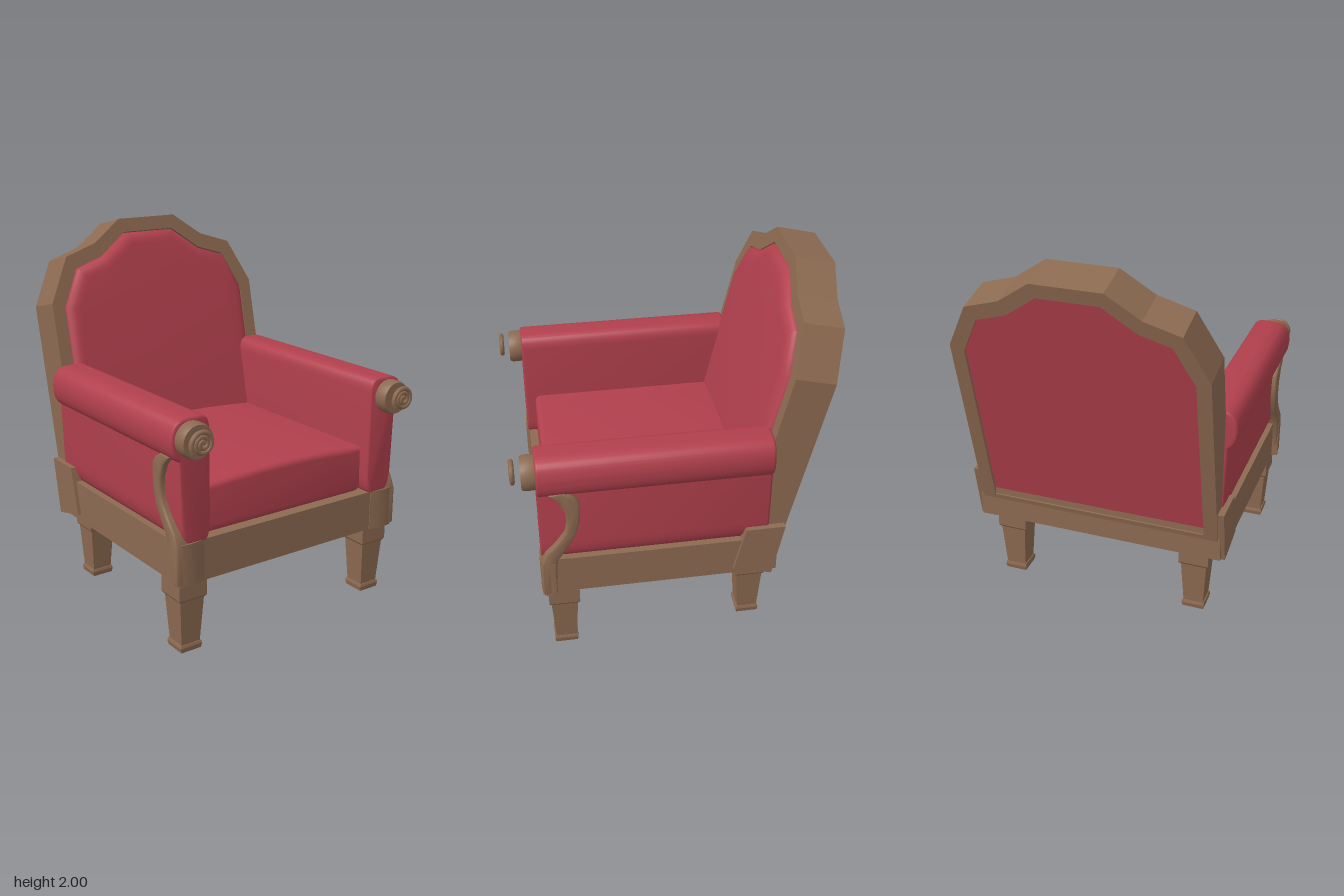
import * as THREE from 'three';
import { toCreasedNormals } from 'three/addons/utils/BufferGeometryUtils.js';

const wood = new THREE.MeshStandardMaterial({ color: 0x8c6a51 });
wood.name = 'wood';
const fabric = new THREE.MeshStandardMaterial({ color: 0xb1404d });
fabric.name = 'red fabric';

function add(parent, name, geometry, material) {
  const mesh = new THREE.Mesh(geometry, material);
  mesh.name = name;
  parent.add(mesh);
  return mesh;
}

const polygon = (pts) => new THREE.Shape(pts.map(([x, y]) => new THREE.Vector2(x, y)));

// Extrudes from z0 to z1; the bevel stays inside the outline and the depth
function extrude(shape, z0, z1, bevel = 0, bevelDepth = bevel, crease = 0.6) {
  const g = new THREE.ExtrudeGeometry(shape, {
    depth: z1 - z0 - 2 * bevelDepth,
    bevelEnabled: bevel > 0,
    bevelSize: bevel,
    bevelOffset: -bevel,
    bevelThickness: bevelDepth,
    bevelSegments: 4,
    curveSegments: 10,
  });
  g.translate(0, 0, z0 + bevelDepth);
  return toCreasedNormals(g, crease);
}

// Extrudes a [z, y] outline sideways between x0 and x1
function sideProfile(pts, x0, x1, bevel = 0) {
  const g = extrude(polygon(pts), -Math.max(x0, x1), -Math.min(x0, x1), bevel, bevel, 0.75);
  return g.rotateY(-Math.PI / 2);
}

// Closed outline of the stepped back, given its right half
function backOutline(half, bottom) {
  const right = [[half[0][0], bottom], ...half];
  return polygon([...right, ...right.map(([x, y]) => [-x, y]).reverse()]);
}

// Square tapered section between two heights
function taper(topWidth, bottomWidth, y0, y1) {
  const g = new THREE.CylinderGeometry(topWidth / Math.SQRT2, bottomWidth / Math.SQRT2, y1 - y0, 4);
  g.rotateY(Math.PI / 4).translate(0, (y0 + y1) / 2, 0);
  return toCreasedNormals(g, 0.3);
}

function makeLeg(x, z, name) {
  const leg = new THREE.Group();
  leg.name = name;
  leg.position.set(x, 0, z);
  add(leg, 'legCap', taper(0.165, 0.165, 0.3, 0.4), wood);
  add(leg, 'legCapChamfer', taper(0.165, 0.15, 0.288, 0.3), wood);
  add(leg, 'legShaft', taper(0.142, 0.11, 0.035, 0.29), wood);
  add(leg, 'legFoot', taper(0.12, 0.128, 0.025, 0.04), wood);
  add(leg, 'legFootBase', taper(0.128, 0.118, 0, 0.025), wood);
  return leg;
}

// Leaning back: frame, puffed front cushion and flat rear panel
function makeBack() {
  const back = new THREE.Group();
  back.name = 'backrest';
  back.position.set(0, 0.43, -0.28);
  back.rotation.x = -THREE.MathUtils.degToRad(13.4);

  const outer = [[0.675, 1.182], [0.55, 1.429], [0.36, 1.49], [0.185, 1.614]];
  const inner = [[0.6, 1.155], [0.498, 1.36], [0.333, 1.412], [0.16, 1.537]];
  const frame = backOutline(outer, 0);
  frame.holes.push(backOutline(inner, 0.16));
  add(back, 'backFrame', extrude(frame, -0.216, 0, 0, 0, 0.1), wood);

  const filling = inner.map(([x, y]) => [x - 0.004, y - 0.004]);
  add(back, 'backCushion', extrude(backOutline(filling, 0.17), -0.12, 0.035, 0.07, 0.045, 0.8), fabric);
  add(back, 'backPanel', extrude(backOutline(inner, 0.16), -0.2, -0.11), fabric);
  return back;
}

function makeArm(s) {
  const arm = new THREE.Group();
  arm.name = s > 0 ? 'leftArm' : 'rightArm';

  // Upholstered side with a rolled top
  const p = new THREE.Shape();
  p.moveTo(s * 0.54, 0.605);
  p.lineTo(s * 0.645, 0.605);
  p.quadraticCurveTo(s * 0.68, 0.63, s * 0.685, 0.72);
  p.lineTo(s * 0.695, 1.035);
  p.quadraticCurveTo(s * 0.738, 1.06, s * 0.74, 1.14);
  p.quadraticCurveTo(s * 0.738, 1.25, s * 0.64, 1.25);
  p.lineTo(s * 0.58, 1.25);
  p.quadraticCurveTo(s * 0.522, 1.25, s * 0.52, 1.18);
  p.lineTo(s * 0.515, 0.7);
  p.quadraticCurveTo(s * 0.518, 0.63, s * 0.54, 0.605);
  add(arm, 'armUpholstery', extrude(p, -0.47, 0.738, 0.014), fabric);

  // Round knob with a raised spiral in front of it
  const knob = new THREE.LatheGeometry(
    [[0, 0.72], [0.084, 0.72], [0.091, 0.75], [0.091, 0.79], [0.084, 0.808], [0, 0.808]]
      .map(([r, y]) => new THREE.Vector2(r, y)), 32);
  knob.rotateX(Math.PI / 2).translate(s * 0.635, 1.147, 0);
  add(arm, 'armKnob', toCreasedNormals(knob, 0.6), wood);

  const spiral = [];
  for (let i = 0; i <= 40; i++) {
    const t = i / 40, a = t * Math.PI * 5 + 0.6, r = 0.008 + 0.056 * t;
    spiral.push(new THREE.Vector3(r * Math.cos(a) + s * 0.64 - 0.003, r * Math.sin(a) + 1.152, 0.85));
  }
  const tube = new THREE.TubeGeometry(new THREE.CatmullRomCurve3(spiral), 120, 0.013, 8);
  add(arm, 'armSpiral', tube, wood);
  for (const end of [spiral[0], spiral[40]]) {
    const cap = new THREE.SphereGeometry(0.013, 10, 8);
    add(arm, 'spiralEnd', cap.translate(end.x, end.y, end.z), wood);
  }

  // Curved wooden support on the outer side
  const support = [
    [0.672, 0.4], [0.742, 0.4], [0.742, 0.6], [0.712, 0.67], [0.655, 0.735], [0.61, 0.8],
    [0.598, 0.86], [0.603, 0.93], [0.635, 1.0], [0.683, 1.05], [0.61, 1.058], [0.555, 1.025],
    [0.528, 0.99], [0.53, 0.87], [0.552, 0.79], [0.595, 0.71], [0.655, 0.62],
  ];
  add(arm, 'armSupport', sideProfile(support, s * 0.64, s * 0.722, 0.014), wood);

  // Rounded post at the front corner of the base
  const post = new THREE.Shape();
  post.moveTo(s * 0.55, -0.6);
  post.lineTo(s * 0.55, -0.733);
  post.quadraticCurveTo(s * 0.635, -0.757, s * 0.7, -0.738);
  post.quadraticCurveTo(s * 0.724, -0.725, s * 0.724, -0.67);
  post.lineTo(s * 0.69, -0.665);
  post.lineTo(s * 0.69, -0.6);
  add(arm, 'cornerPost', extrude(post, 0.39, 0.612).rotateX(-Math.PI / 2), wood);

  // Block joining the back frame to the base
  const block = [[-0.28, 0.43], [-0.342, 0.69], [-0.552, 0.69], [-0.49, 0.38]];
  add(arm, 'backBlock', sideProfile(block, s * 0.62, s * 0.71), wood);
  return arm;
}

export function createModel() {
  const chair = new THREE.Group();
  chair.name = 'armchair';

  add(chair, 'base', new THREE.BoxGeometry(1.38, 0.22, 1.25).translate(0, 0.5, 0.105), wood);

  // Seat cushion with a slightly crowned top
  const seat = new THREE.Shape();
  seat.moveTo(-0.525, 0.65);
  seat.quadraticCurveTo(-0.525, 0.607, -0.48, 0.607);
  seat.lineTo(0.48, 0.607);
  seat.quadraticCurveTo(0.525, 0.607, 0.525, 0.65);
  seat.lineTo(0.52, 0.86);
  seat.quadraticCurveTo(0, 0.91, -0.52, 0.86);
  add(chair, 'seatCushion', extrude(seat, -0.42, 0.682, 0.03), fabric);

  chair.add(makeBack());
  for (const s of [1, -1]) {
    const side = s > 0 ? 'Left' : 'Right';
    chair.add(makeArm(s));
    chair.add(makeLeg(s * 0.605, 0.632, `front${side}Leg`));
    chair.add(makeLeg(s * 0.533, -0.396, `back${side}Leg`));
  }
  return chair;
}
